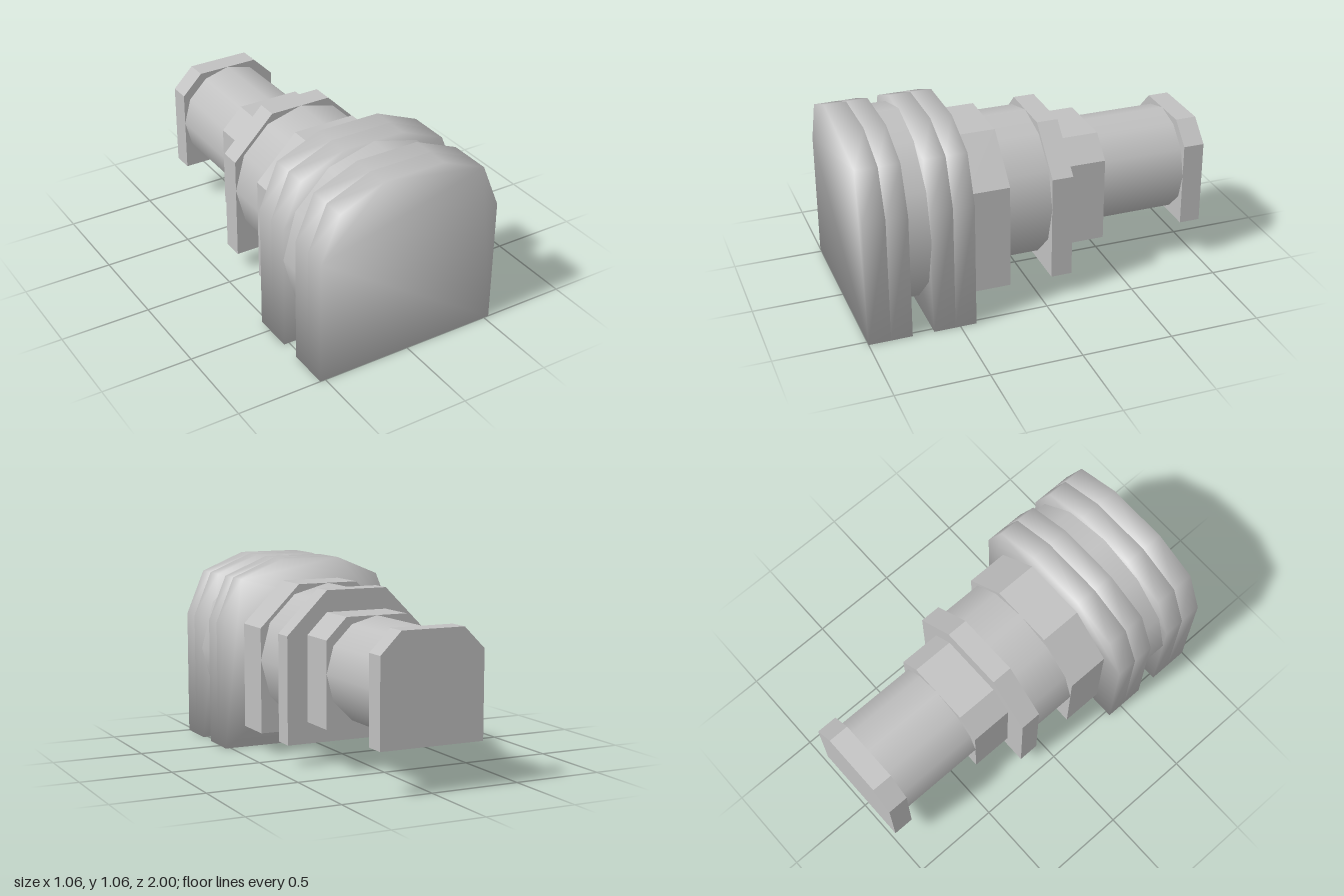
import * as THREE from 'three';

const AXIS_Y = 0.53; // height of the shared centre line

// Right-hand half of each plate outline, relative to the centre line, bottom to top
const roundedHalf = [[0.53, -0.53], [0.53, 0.177], [0.426, 0.427], [0.177, 0.53]];
const chamferHalf = (r) => [[r, -r], [r, 0.177], [0.177, r]];

// Mirror a half outline into a closed counter-clockwise one
const mirror = (half) => [...half, ...half.map(([x, y]) => [-x, y]).reverse()]
  .map(([x, y]) => new THREE.Vector2(x, y));

// Flat-sided plate extruded between two z positions
function plateGeometry(points, z0, z1) {
  const geo = new THREE.ExtrudeGeometry(new THREE.Shape(points), { depth: z1 - z0, bevelEnabled: false });
  return geo.translate(0, AXIS_Y, z0);
}

// Blend each corner's normal over the cap and both neighbouring sides, for soft plates
function softenNormals(geo, points, zMid) {
  const n = points.length;
  const edgeNormal = (i) => {
    const d = points[(i + 1) % n].clone().sub(points[i]).normalize();
    return new THREE.Vector2(d.y, -d.x);
  };
  const corner = points.map((p, i) => edgeNormal(i).add(edgeNormal((i + n - 1) % n)));
  const pos = geo.attributes.position;
  const v = new THREE.Vector3();
  for (let i = 0; i < pos.count; i++) {
    const x = pos.getX(i), y = pos.getY(i) - AXIS_Y;
    const k = points.findIndex((p) => Math.hypot(p.x - x, p.y - y) < 1e-3);
    v.set(corner[k].x, corner[k].y, pos.getZ(i) > zMid ? 1 : -1).normalize();
    geo.attributes.normal.setXYZ(i, v.x, v.y, v.z);
  }
  return geo;
}

// Smooth twelve-sided drum lying along z
function drumGeometry(r, z0, z1) {
  return new THREE.CylinderGeometry(r, r, z1 - z0, 12, 1, true)
    .rotateX(Math.PI / 2)
    .translate(0, AXIS_Y, (z0 + z1) / 2);
}

export function createModel() {
  const model = new THREE.Group();
  model.name = 'steppedBarrel';
  const grey = new THREE.MeshStandardMaterial({ color: 0xc0c0c0 });
  grey.name = 'grey';

  const add = (name, geo) => {
    const mesh = new THREE.Mesh(geo, grey);
    mesh.name = name;
    model.add(mesh);
  };

  // Soft arched plates of the large head, in two pairs
  const arch = mirror(roundedHalf);
  [[0.88, 1], [0.763, 0.88], [0.528, 0.645], [0.412, 0.528]].forEach(([z0, z1], i) => {
    add('headPlate' + (i + 1), softenNormals(plateGeometry(arch, z0, z1), arch, (z0 + z1) / 2));
  });
  add('headDrum', drumGeometry(0.53, 0.645, 0.763));

  // Middle section: chamfered collars either side of a drum
  const middle = mirror(chamferHalf(0.41));
  add('middleFrontCollar', plateGeometry(middle, 0.177, 0.412));
  add('middleDrum', drumGeometry(0.41, -0.06, 0.177));
  add('middleRearCollar', plateGeometry(middle, -0.177, -0.06));

  // Narrow rear section
  const rear = mirror(chamferHalf(0.293));
  add('rearFrontCollar', plateGeometry(rear, -0.41, -0.177));
  add('rearDrum', drumGeometry(0.293, -0.883, -0.41));
  add('rearEndCollar', plateGeometry(rear, -1, -0.883));

  return model;
}
